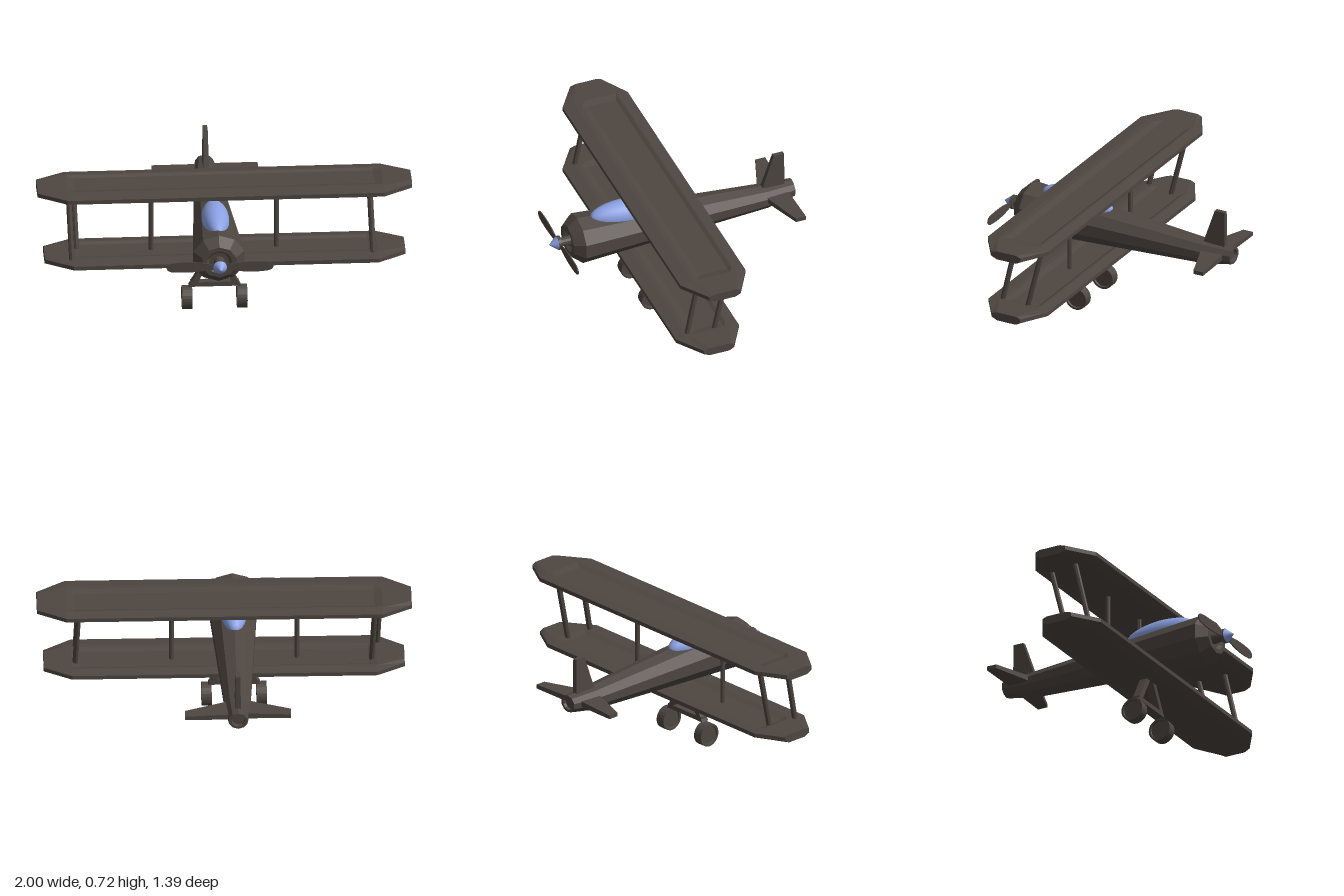
import * as THREE from 'three';

const dark = new THREE.MeshStandardMaterial({ color: 0x4e4641, flatShading: true });
const blue = new THREE.MeshStandardMaterial({ color: 0x8ca2e4 });
const CX = -0.055; // centre line of the fuselage

const add = (parent, name, geometry, material = dark) => {
  const mesh = new THREE.Mesh(geometry, material);
  mesh.name = name;
  parent.add(mesh);
  return mesh;
};

// Skin a row of equal-length closed sections and close both ends.
function loft(sections) {
  const tris = [];
  const n = sections[0].length;
  for (let s = 0; s < sections.length - 1; s++) {
    for (let i = 0; i < n; i++) {
      const j = (i + 1) % n;
      const a = sections[s][i], b = sections[s][j];
      const c = sections[s + 1][j], d = sections[s + 1][i];
      tris.push([a, b, c], [a, c, d]);
    }
  }
  const cap = (sec, flip) => {
    const mid = [0, 1, 2].map(k => sec.reduce((t, p) => t + p[k], 0) / n);
    sec.forEach((p, i) => {
      const q = sec[(i + 1) % n];
      tris.push(flip ? [mid, q, p] : [mid, p, q]);
    });
  };
  cap(sections[0], true);
  cap(sections[sections.length - 1], false);
  // Turn the skin outward when its enclosed volume comes out negative
  const v = p => new THREE.Vector3(...p);
  const volume = tris.reduce((t, [a, b, c]) => t + v(a).dot(v(b).cross(v(c))), 0);
  if (volume < 0) tris.forEach(t => t.reverse());
  const geo = new THREE.BufferGeometry();
  geo.setAttribute('position', new THREE.Float32BufferAttribute(tris.flat(2), 3));
  geo.computeVertexNormals();
  return geo;
}

// Square or round bar between two points
function bar(parent, name, from, to, radius, sides = 8) {
  const a = new THREE.Vector3(...from), b = new THREE.Vector3(...to);
  const mesh = add(parent, name, new THREE.CylinderGeometry(radius, radius, a.distanceTo(b), sides));
  mesh.position.copy(a).add(b).multiplyScalar(0.5);
  mesh.quaternion.setFromUnitVectors(new THREE.Vector3(0, 1, 0), b.sub(a).normalize());
  return mesh;
}

// Wing with bevelled edges, clipped corners and a shallow sunken panel on top
function wing(parent, name, y, zMid, scale) {
  const section = (x, half, shift, d) => [
    [1, 0.015], [1, 0.037], [0.65, 0.047], [0.5, 0.047], [0.3, 0.047 - d], [-0.54, 0.047 - d],
    [-0.65, 0.047], [-0.72, 0.047], [-1, 0.037], [-1, 0.015], [-0.68, 0], [0.63, 0],
  ].map(([t, h]) => [x * scale, y + h, zMid + (t * half + shift) * scale]);
  const stations = [[1, 0.09, -0.008, 0], [0.845, 0.187, 0, 0], [0.8, 0.187, 0, 0.01]];
  const all = [...stations, ...stations.map(([x, ...r]) => [-x, ...r]).reverse()];
  add(parent, name, loft(all.map(s => section(...s))));
}

export function createModel() {
  const plane = new THREE.Group();
  plane.name = 'biplane';

  // Fuselage: ten-sided rings [z, y, radius], hollowed slightly at nose and tail
  const rings = [
    [0.575, 0.457, 0.05], [0.595, 0.457, 0.064], [0.595, 0.457, 0.088], [0.54, 0.457, 0.133],
    [-0.54, 0.438, 0.066], [-0.695, 0.45, 0.048], [-0.695, 0.45, 0.034], [-0.68, 0.45, 0.03],
  ];
  add(plane, 'fuselage', loft(rings.map(([z, y, r]) => Array.from({ length: 10 }, (_, i) => {
    const a = i * Math.PI / 5;
    return [CX + 1.08 * r * Math.sin(a), y + r * Math.cos(a), z];
  }))));

  // Canopy
  const canopy = add(plane, 'canopy', new THREE.SphereGeometry(1, 28, 18), blue);
  canopy.scale.set(0.073, 0.073, 0.212);
  canopy.position.set(CX, 0.556, 0.255);
  canopy.rotation.x = -0.06;

  // Propeller
  const propeller = new THREE.Group();
  propeller.name = 'propeller';
  propeller.position.set(CX, 0.456, 0);
  plane.add(propeller);
  const turned = (name, r0, r1, z0, z1, material, sides = 12) => {
    const mesh = add(propeller, name, new THREE.CylinderGeometry(r1, r0, z1 - z0, sides), material);
    mesh.rotation.x = Math.PI / 2;
    mesh.position.z = (z0 + z1) / 2;
  };
  turned('shaft', 0.03, 0.023, 0.57, 0.64, dark);
  turned('hub', 0.039, 0.039, 0.638, 0.656, dark);
  turned('spinner', 0.037, 0.002, 0.656, 0.7, blue, 16);
  const outline = new THREE.Shape();
  outline.moveTo(0.01, -0.014);
  outline.lineTo(0.05, -0.016);
  outline.bezierCurveTo(0.12, -0.034, 0.2, -0.036, 0.26, -0.026);
  outline.bezierCurveTo(0.295, -0.018, 0.295, 0.018, 0.26, 0.024);
  outline.bezierCurveTo(0.2, 0.03, 0.12, 0.03, 0.05, 0.016);
  outline.lineTo(0.01, 0.014);
  for (const turn of [0, Math.PI]) {
    const blade = add(propeller, 'blade',
      new THREE.ExtrudeGeometry(outline, { depth: 0.006, bevelEnabled: false, curveSegments: 6 }));
    blade.rotation.x = turn ? Math.PI : 0;
    blade.rotation.y = turn;
    blade.position.z = 0.644;
  }

  // Wings
  wing(plane, 'upperWing', 0.671, 0.12, 1);
  wing(plane, 'lowerWing', 0.29, 0.139, 0.963);

  // Struts
  for (const [top, low] of [[-0.835, -0.82], [0.775, 0.79]]) {
    const shift = top < 0 ? 0.033 : 0.005;
    bar(plane, 'outerFrontStrut', [low, 0.31, 0.25], [top, 0.69, 0.168], 0.015);
    bar(plane, 'outerRearStrut', [low + shift, 0.31, 0.095], [top + shift, 0.69, 0.005], 0.015);
  }
  for (const x of [-0.335, 0.335]) {
    bar(plane, 'innerStrut', [CX + x, 0.31, 0.12], [CX + x, 0.69, 0.12], 0.013);
  }
  bar(plane, 'centreStrut', [CX, 0.5, 0.12], [CX, 0.69, 0.12], 0.013);

  // Tail: each surface tapers from a root outline to a tip outline
  const fin = (y, w, z0, z1) => [[CX - w, y, z1], [CX + w, y, z1], [CX + w, y, z0], [CX - w, y, z0]];
  add(plane, 'tailFin', loft([fin(0.46, 0.016, -0.505, -0.645), fin(0.695, 0.012, -0.585, -0.645)]));
  for (const side of [-1, 1]) {
    const drop = side > 0 ? -0.008 : 0;
    const slab = (x, h, z0, z1) => [[-h, z1], [h, z1], [h, z0], [-h, z0]]
      .map(([dy, z]) => [CX + side * x, 0.451 + dy, z + drop]);
    add(plane, side > 0 ? 'leftTailplane' : 'rightTailplane',
      loft([slab(0.02, 0.016, -0.505, -0.645), slab(0.283, 0.011, -0.597, -0.654)]));
  }

  // Landing gear
  const gear = new THREE.Group();
  gear.name = 'landingGear';
  gear.position.set(CX, 0, 0.174);
  plane.add(gear);
  add(gear, 'crossBar', new THREE.BoxGeometry(0.26, 0.025, 0.044)).position.y = 0.147;
  const tyre = [[0, -0.019], [0.05, -0.019], [0.053, -0.027], [0.064, -0.027],
    [0.064, 0.027], [0.053, 0.027], [0.05, 0.019], [0, 0.019]].map(p => new THREE.Vector2(...p));
  for (const s of [-1, 1]) {
    const leg = (x, y) => [[-0.017, -0.022], [0.017, -0.022], [0.017, 0.022], [-0.017, 0.022]]
      .map(([dx, z]) => [s * x + dx, y, z]);
    add(gear, 'leg', loft([leg(0.122, 0.134), leg(0.022, 0.31)]));
    const wheel = add(gear, 'wheel', new THREE.LatheGeometry(tyre, 24));
    wheel.rotation.z = Math.PI / 2;
    wheel.position.set(s * 0.147, 0.065, 0);
  }
  return plane;
}
